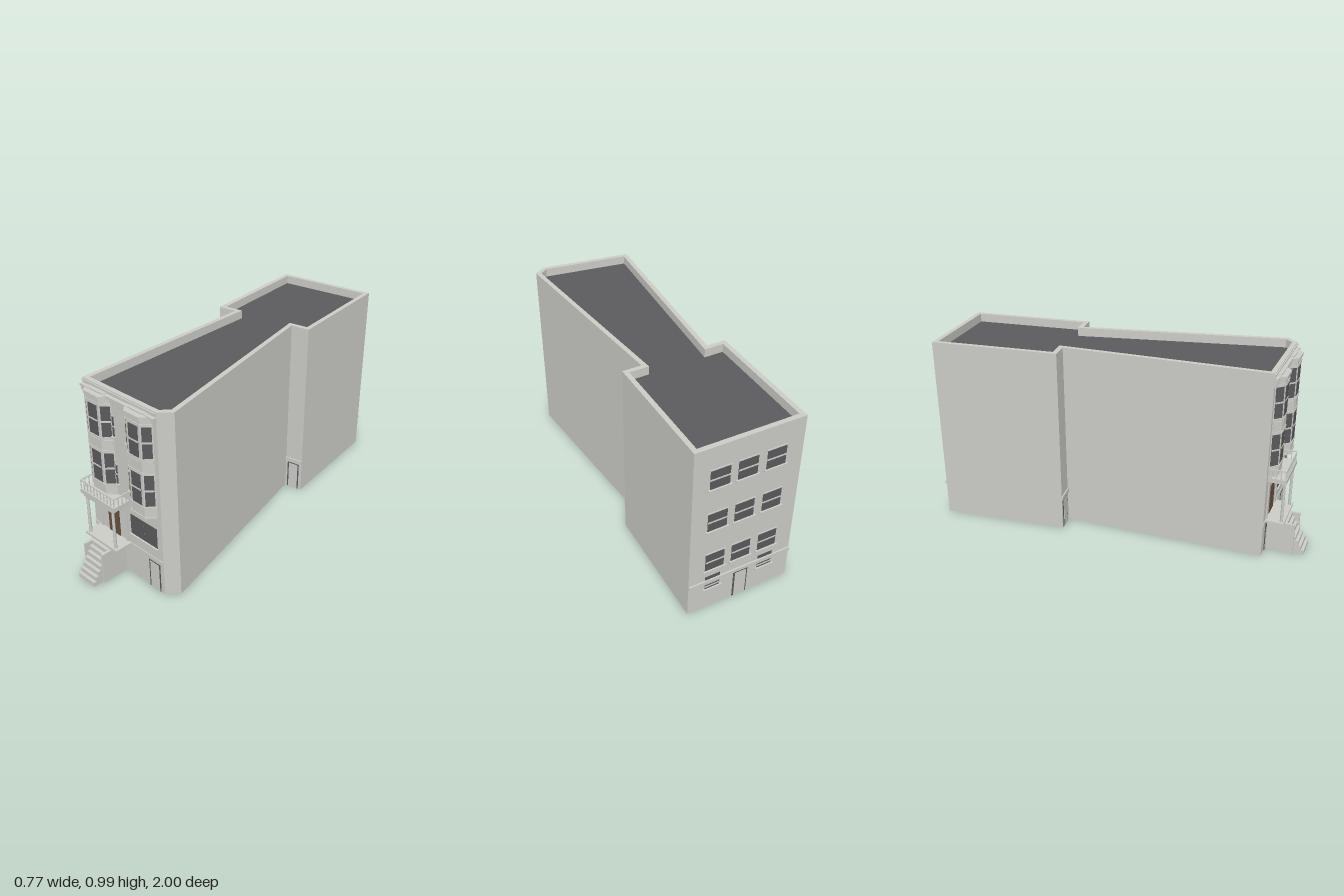
import * as THREE from 'three';

const mat = (name, color) => {
  const m = new THREE.MeshStandardMaterial({ color });
  m.name = name;
  return m;
};

export function createModel() {
  const model = new THREE.Group();
  model.name = 'townhouse';
  const stone = mat('pale stone', 0xcbccc6);
  const roofing = mat('dark roofing', 0x5b5b5e);
  const glass = mat('dark glass', 0x5a5a5d);
  const wood = mat('brown wood', 0x67503f);

  const add = (parent, name, geo, m) => {
    const mesh = new THREE.Mesh(geo, m);
    mesh.name = name;
    parent.add(mesh);
    return mesh;
  };
  const group = (parent, name) => {
    const g = new THREE.Group();
    g.name = name;
    parent.add(g);
    return g;
  };
  const box = (parent, name, m, x0, x1, y0, y1, z0, z1) => {
    const mesh = add(parent, name, new THREE.BoxGeometry(x1 - x0, y1 - y0, z1 - z0), m);
    mesh.position.set((x0 + x1) / 2, (y0 + y1) / 2, (z0 + z1) / 2);
    return mesh;
  };
  // Plan points are [x, -z], counter-clockwise seen from above
  const prism = (parent, name, m, plan, y0, y1, hole) => {
    const shape = new THREE.Shape(plan.map(p => new THREE.Vector2(...p)));
    if (hole) shape.holes.push(new THREE.Path(hole.map(p => new THREE.Vector2(...p))));
    const geo = new THREE.ExtrudeGeometry(shape, { depth: y1 - y0, bevelEnabled: false });
    geo.rotateX(-Math.PI / 2).translate(0, y0, 0);
    return add(parent, name, geo, m);
  };
  // Group whose x runs along a wall from a to b and whose z points outward
  const wallFrame = (parent, name, a, b) => {
    const g = group(parent, name);
    g.position.set(a[0], 0, -a[1]);
    g.rotation.y = Math.atan2(b[1] - a[1], b[0] - a[0]);
    g.userData.length = Math.hypot(b[0] - a[0], b[1] - a[1]);
    return g;
  };
  const inset = (plan, d) => plan.map((p, i) => {
    const n = plan.length, a = plan[(i + n - 1) % n], b = plan[(i + 1) % n];
    const u = new THREE.Vector2(p[0] - a[0], p[1] - a[1]).normalize();
    const v = new THREE.Vector2(b[0] - p[0], b[1] - p[1]).normalize();
    const k = d / (1 + u.dot(v));
    return [p[0] - k * (u.y + v.y), p[1] + k * (u.x + v.x)];
  });
  const sash = (parent, x0, x1, y0, y1, sill = 0.01) => {
    const g = group(parent, 'sashWindow'), my = (y0 + y1) / 2;
    box(g, 'windowGlass', glass, x0, x1, y0, y1, -0.003, 0.002);
    box(g, 'meetingRail', stone, x0, x1, my - 0.004, my + 0.004, 0, 0.004);
    box(g, 'windowHead', stone, x0 - 0.003, x1 + 0.003, y1, y1 + 0.005, 0, 0.004);
    if (sill) box(g, 'windowSill', stone, x0 - sill, x1 + sill, y0 - 0.009, y0, 0, 0.01);
  };
  // Doorway drawn as a shadowed reveal around a plain door leaf
  const doorway = (parent, x0, x1, top) => {
    box(parent, 'doorReveal', glass, x0, x1, 0, top, -0.003, 0.002);
    box(parent, 'doorLeaf', stone, x0 + 0.009, x1 - 0.007, 0, top - 0.005, 0, 0.004);
  };

  // Walls with parapet, open underneath, and the sunken roof
  const plan = [[-0.165, -0.8], [0.33, -0.8], [0.385, -0.745], [0.15, 0.32], [0.25, 0.335],
    [0.17, 0.995], [-0.385, 0.925], [-0.305, 0.255], [-0.205, 0.27]];
  const inner = inset(plan, 0.025);
  prism(model, 'walls', stone, plan, 0, 0.99, inner);
  prism(model, 'roof', roofing, inner, 0.935, 0.945);

  const edge = (name, i) => wallFrame(model, name, plan[i], plan[(i + 1) % plan.length]);

  // Set-back walls: a belt course and a service door on each
  [['rightStepWall', 3], ['leftStepWall', 7]].forEach(([name, i]) => {
    const w = edge(name, i), L = w.userData.length;
    box(w, 'beltCourse', stone, 0, L, 0.168, 0.19, 0, 0.007);
    doorway(w, 0.012, L - 0.018, 0.16);
  });

  // Rear wall
  const rear = edge('rearWall', 5), W = rear.userData.length;
  [0.24, 0.49, 0.75].forEach(f => {
    [0.255, 0.51, 0.76].forEach(y => sash(rear, W * f - 0.05, W * f + 0.05, y, y + 0.105));
  });
  box(rear, 'beltCourse', stone, 0, W, 0.17, 0.188, 0, 0.008);
  [0.23, 0.75].forEach(f => {
    box(rear, 'basementWindow', glass, W * f - 0.04, W * f + 0.04, 0.19, 0.21, -0.003, 0.002);
    sash(rear, W * f - 0.04, W * f + 0.04, 0.13, 0.16);
  });
  doorway(rear, W * 0.44, W * 0.58, 0.16);

  // Street front
  const front = group(model, 'frontWall');
  front.position.z = 0.8;
  box(front, 'beltCourse', stone, -0.165, 0.33, 0.172, 0.19, 0, 0.004);
  doorway(front, 0.23, 0.306, 0.16);
  box(front, 'basementDoor', glass, -0.107, -0.086, 0, 0.125, 0, 0.004);
  box(front, 'basementDoorLeaf', stone, -0.101, -0.086, 0, 0.12, 0, 0.006);
  box(front, 'basementDoorLight', glass, -0.107, -0.086, 0.13, 0.16, 0, 0.004);
  box(front, 'entranceDoor', wood, -0.053, 0.027, 0.19, 0.347, -0.003, 0.004);
  [[0.113, 0.203], [0.207, 0.295]].forEach(([a, b]) =>
    box(front, 'parlourWindow', glass, a, b, 0.255, 0.365, -0.003, 0.003));
  box(front, 'parlourSill', stone, 0.106, 0.302, 0.245, 0.253, 0, 0.01);
  [0.5, 0.757].forEach(y => {
    sash(front, 0.015, 0.04, y, y + 0.105);
    sash(front, 0.122, 0.147, y, y + 0.105);
  });

  // Bay windows: three facets over a stepped corbel
  const bayPlan = g => [[-0.085 - g, 0], [-0.045 - g / 2, -0.04 - g],
    [0.045 + g / 2, -0.04 - g], [0.085 + g, 0]];
  const bay = (name, cx) => {
    const b = group(front, name);
    b.position.x = cx;
    prism(b, 'bayBody', stone, bayPlan(0), 0.44, 0.95);
    prism(b, 'bayFoot', stone, bayPlan(-0.025), 0.422, 0.44);
    [[0.432, 0.442, 0.004], [0.488, 0.497, 0.004], [0.672, 0.68, 0.003],
      [0.743, 0.75, 0.004], [0.917, 0.926, 0.003], [0.948, 0.962, 0.007]].forEach(([y0, y1, g]) =>
      prism(b, 'bayMoulding', stone, bayPlan(g), y0, y1));
    prism(b, 'bayCap', stone, bayPlan(-0.02), 0.962, 0.968);
    const p = bayPlan(0);
    for (let i = 0; i < 3; i++) {
      const f = wallFrame(b, 'bayFacet', p[i], p[i + 1]), L = f.userData.length;
      const m = i === 1 ? 0.014 : 0.006;
      sash(f, m, L - m, 0.5, 0.667, 0);
      sash(f, m, L - m, 0.752, 0.912, 0);
      box(f, 'bayPanel', stone, m, L - m, 0.69, 0.735, 0, 0.003);
    }
  };
  bay('leftBay', 0.22);
  bay('rightBay', -0.055);

  // Cornice with paired brackets
  box(front, 'cornice', stone, -0.165, 0.33, 0.955, 0.965, 0, 0.018);
  box(front, 'corniceLip', stone, -0.165, 0.33, 0.978, 0.985, 0, 0.006);
  [-0.155, 0.045, 0.08, 0.115, 0.32].forEach(x => {
    box(front, 'bracket', stone, x - 0.007, x + 0.007, 0.935, 0.955, 0, 0.014);
    box(front, 'bracketDrop', stone, x - 0.004, x + 0.004, 0.915, 0.935, 0, 0.009);
  });
  for (let x = 0.035; x < 0.14; x += 0.012)
    box(front, 'dentil', stone, x, x + 0.006, 0.946, 0.955, 0, 0.012);

  // Porch: landing, columns and balcony
  const porch = group(front, 'porch');
  box(porch, 'landing', stone, -0.13, 0.105, 0.178, 0.19, 0, 0.095);
  box(porch, 'balconyFloor', stone, -0.14, 0.11, 0.415, 0.438, 0, 0.093);
  box(porch, 'balconyBeam', stone, -0.122, 0.094, 0.4, 0.415, 0.07, 0.088);
  [-0.108, 0.08].forEach(x => {
    const col = add(porch, 'column', new THREE.CylinderGeometry(0.007, 0.008, 0.225, 12), stone);
    col.position.set(x, 0.3025, 0.079);
    box(porch, 'pilaster', stone, x - 0.007, x + 0.007, 0.19, 0.415, 0, 0.006);
  });
  box(porch, 'frontRail', stone, -0.14, 0.11, 0.482, 0.488, 0.084, 0.09);
  for (let i = 0; i <= 10; i++) {
    const x = -0.138 + i * 0.0242;
    box(porch, 'baluster', stone, x - 0.002, x + 0.002, 0.438, 0.482, 0.085, 0.089);
  }
  [-0.137, 0.107].forEach(x => {
    box(porch, 'sideRail', stone, x - 0.003, x + 0.003, 0.482, 0.488, 0, 0.09);
    for (let z = 0.015; z < 0.08; z += 0.023)
      box(porch, 'baluster', stone, x - 0.002, x + 0.002, 0.438, 0.482, z, z + 0.004);
  });

  // Stoop
  const stoop = group(front, 'stoop');
  box(stoop, 'stoopBase', stone, -0.085, 0.058, 0, 0.178, 0, 0.09);
  [[-0.085, -0.073], [0.044, 0.058]].forEach(([a, b]) =>
    box(stoop, 'cheekWall', stone, a, b, 0, 0.168, 0.09, 0.145));
  for (let i = 0; i < 7; i++)
    box(stoop, 'step', stone, -0.073, 0.044, i * 0.0243, (i + 1) * 0.0243, 0.08, 0.2 - i * 0.0157);

  return model;
}
